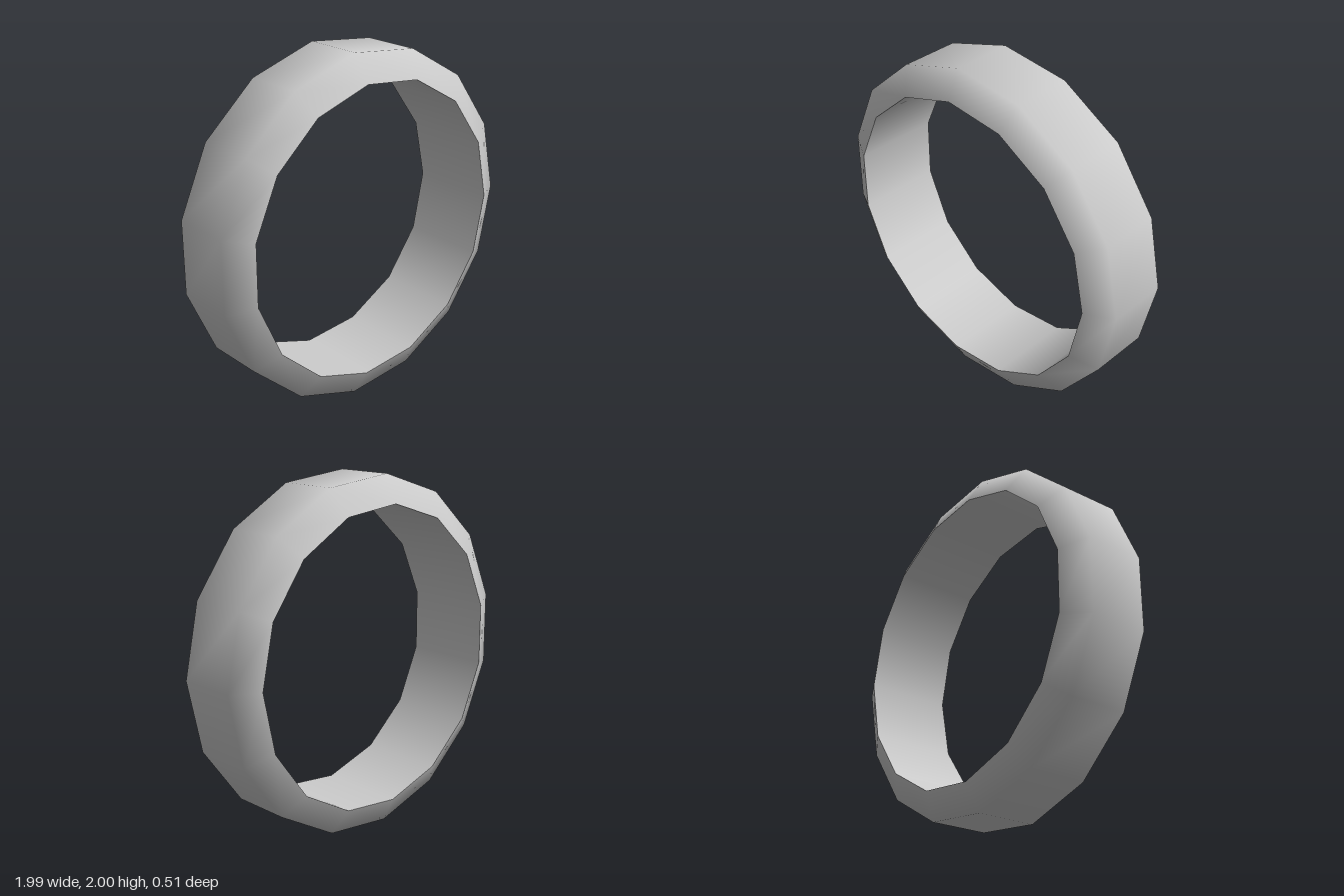
import * as THREE from 'three';

const SIDES = 15;
const OUTER = 1.0055, INNER = 0.851; // corner radii of the 15-sided ring
const BAND = 0.172, HALF = 0.256;    // half widths of the outer band and of the bore

// Sweeps a (radius, depth) profile around the z axis, with one corner on +x
function sweep(name, profile, material) {
  const points = profile.map(([r, d]) => new THREE.Vector2(r, d));
  const geometry = new THREE.LatheGeometry(points, SIDES, Math.PI / 2);
  geometry.rotateX(Math.PI / 2);
  const mesh = new THREE.Mesh(geometry, material);
  mesh.name = name;
  return mesh;
}

export function createModel() {
  const model = new THREE.Group();
  model.name = 'ring';
  const material = new THREE.MeshStandardMaterial({ color: 0xcccccc });

  // Outer band with a softly shaded chamfer on both rims
  model.add(sweep('outerBand', [[INNER, -HALF], [OUTER, -BAND], [OUTER, BAND], [INNER, HALF]], material));

  // Straight bore, facing inwards, meeting the chamfers at a sharp edge
  model.add(sweep('innerBore', [[INNER, HALF], [INNER, -HALF]], material));

  // An odd number of sides is lopsided in x, so shift it to centre
  model.position.set(-OUTER * (1 - Math.cos(Math.PI / SIDES)) / 2, 1, 0);
  return model;
}
